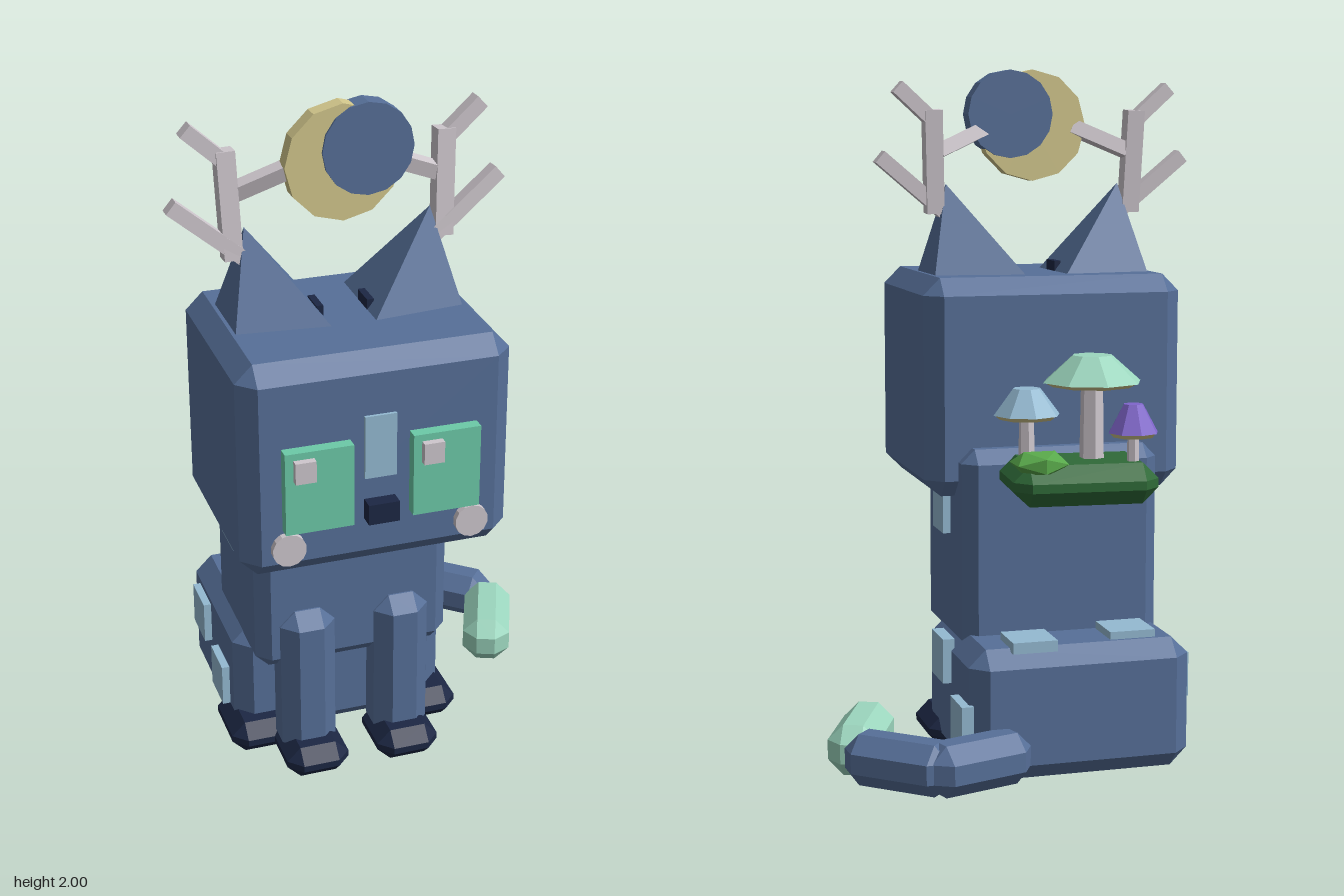
import * as THREE from 'three';
import { ConvexGeometry } from 'three/addons/geometries/ConvexGeometry.js';

const mat = (name, color) => {
  const m = new THREE.MeshStandardMaterial({ color });
  m.name = name;
  return m;
};
const V = (x, y, z) => new THREE.Vector3(x, y, z);
const CX = -0.115; // mirror plane of the body
const SIDES = [-1, 1];

// Box with all edges and corners chamfered by b
function chamferBox(w, h, d, b) {
  const pts = [], [x, y, z] = [w / 2, h / 2, d / 2];
  for (const i of SIDES) for (const j of SIDES) for (const k of SIDES) {
    pts.push(V(i * x, j * (y - b), k * (z - b)), V(i * (x - b), j * y, k * (z - b)), V(i * (x - b), j * (y - b), k * z));
  }
  return new ConvexGeometry(pts);
}

// Faceted copy of a smooth geometry
function faceted(g) {
  const f = g.index ? g.toNonIndexed() : g;
  f.computeVertexNormals();
  return f;
}
const drum = (rTop, rBottom, h, n) => faceted(new THREE.CylinderGeometry(rTop, rBottom, h, n));

export function createModel() {
  const root = new THREE.Group();
  const fur = mat('blue fur', 0x566f98);
  const navy = mat('dark navy', 0x1c2744);
  const eyeGreen = mat('eye green', 0x6ccaa8);
  const mint = mat('mint', 0x9cd6be);
  const sky = mat('light blue', 0x94bad2);
  const bone = mat('pale grey', 0xcec7cd);
  const sand = mat('moon yellow', 0xd2c78c);
  const moss = mat('moss green', 0x2f6a38);
  const leaf = mat('leaf green', 0x58a84a);
  const purple = mat('purple', 0x8066cc);

  function add(name, geo, material, x = 0, y = 0, z = 0, parent = root) {
    const m = new THREE.Mesh(geo, material);
    m.name = name;
    m.position.set(x, y, z);
    parent.add(m);
    return m;
  }
  // Box given by its limits, chamfered if b > 0
  function block(name, material, [x0, x1], [y0, y1], [z0, z1], b = 0) {
    const s = [x1 - x0, y1 - y0, z1 - z0];
    const g = b ? chamferBox(...s, b) : new THREE.BoxGeometry(...s);
    return add(name, g, material, (x0 + x1) / 2, (y0 + y1) / 2, (z0 + z1) / 2);
  }
  // Square rod between two points
  function rod(name, material, a, b, t) {
    const d = b.clone().sub(a);
    const mid = a.clone().add(b).multiplyScalar(0.5);
    const m = add(name, new THREE.BoxGeometry(t, d.length(), t), material, mid.x, mid.y, mid.z);
    m.quaternion.setFromUnitVectors(V(0, 1, 0), d.normalize());
  }

  // Main masses
  block('head', fur, [-0.5, 0.27], [0.775, 1.405], [-0.13, 0.488], 0.05);
  block('torso', fur, [-0.405, 0.18], [0.325, 0.92], [-0.2, 0.26], 0.04);
  block('haunches', fur, [-0.44, 0.21], [0.005, 0.385], [-0.4, 0.135], 0.05);

  // Paired parts
  for (const s of SIDES) {
    const px = (d) => CX + s * d;
    const span = (c, w) => [px(c) - w / 2, px(c) + w / 2];
    block('frontLeg', fur, span(0.143, 0.165), [0.03, 0.52], [0.15, 0.31], 0.045);
    block('frontFoot', navy, span(0.14, 0.188), [0, 0.1], [0.16, 0.385], 0.04);
    block('hindFoot', navy, span(0.26, 0.19), [0, 0.1], [-0.04, 0.21], 0.04);

    const ear = [V(px(0.33), 1.38, 0.01), V(px(0.33), 1.38, 0.25), V(px(0.06), 1.4, -0.02),
      V(px(0.06), 1.4, 0.27), V(px(0.265), 1.665, 0.13)];
    add('ear', new ConvexGeometry(ear), fur);
    block('innerEar', navy, span(0.073, 0.02), [1.4, 1.435], [0.11, 0.19]);

    rod('antlerStem', bone, V(px(0.3), 1.58, 0.13), V(px(0.31), 1.88, 0.11), 0.052);
    rod('antlerLowerTine', bone, V(px(0.268), 1.58, 0.135), V(px(0.465), 1.745, 0.125), 0.042);
    rod('antlerUpperTine', bone, V(px(0.305), 1.845, 0.11), V(px(0.415), 1.945, 0.108), 0.042);
    rod('antlerInnerTine', bone, V(px(0.29), 1.76, 0.115), V(px(0.13), 1.83, 0.155), 0.042);

    // Eyes, with glints on the same side of each
    const ex = px(0.18);
    block('eye', eyeGreen, [ex - 0.096, ex + 0.096], [0.93, 1.172], [0.46, 0.523]);
    block('eyeGlint', bone, [ex - 0.073, ex - 0.015], [1.09, 1.152], [0.5, 0.544]);
    add('cheek', drum(0.048, 0.048, 0.06, 14), bone, px(0.262), 0.873, 0.478).rotation.x = Math.PI / 2;
  }

  // Face
  block('foreheadStripe', sky, [-0.16, -0.07], [1.05, 1.235], [0.47, 0.497]);
  block('nose', navy, [-0.16, -0.072], [0.925, 0.985], [0.46, 0.53]);

  // Crescent moon made of two discs
  add('moon', drum(0.163, 0.163, 0.05, 12), sand, -0.117, 1.835, 0.16).rotation.x = Math.PI / 2;
  add('moonShadow', drum(0.129, 0.129, 0.064, 16), fur, -0.048, 1.868, 0.16).rotation.x = Math.PI / 2;

  // Fur patches on the sides and the back
  const patches = [
    [[0.17, 0.202], [0.655, 0.785], [-0.03, 0.095]],
    [[-0.43, -0.395], [0.655, 0.785], [-0.03, 0.095]],
    [[0.2, 0.235], [0.24, 0.37], [-0.155, -0.02]],
    [[0.2, 0.235], [0.1, 0.23], [-0.372, -0.24]],
    [[-0.463, -0.43], [0.19, 0.32], [-0.3, -0.167]],
    [[-0.463, -0.43], [0.09, 0.22], [-0.09, 0.04]],
    [[-0.345, -0.21], [0.375, 0.407], [-0.34, -0.205]],
    [[-0.04, 0.09], [0.375, 0.407], [-0.385, -0.25]],
  ];
  for (const p of patches) block('furPatch', sky, ...p);

  // Curled tail: chamfered segments between ground points
  const tail = [
    [0.06, -0.4, 0.365, -0.495, fur],
    [0.29, -0.5, 0.535, -0.285, fur],
    [0.535, -0.29, 0.412, 0.005, mint],
  ];
  tail.forEach(([x0, z0, x1, z1, m], i) => {
    const len = Math.hypot(x1 - x0, z1 - z0);
    const seg = add(i < 2 ? 'tailSegment' : 'tailTip', chamferBox(0.148, 0.146, len, 0.045), m,
      (x0 + x1) / 2, 0.095, (z0 + z1) / 2);
    seg.rotation.y = Math.atan2(x1 - x0, z1 - z0);
  });

  // Mossy ledge with bush and mushrooms
  add('mossLedge', chamferBox(0.41, 0.115, 0.29, 0.045), moss, -0.115, 0.853, -0.33).rotation.y = -0.08;
  const bush = add('bush', faceted(new THREE.IcosahedronGeometry(0.085, 0)), leaf, 0.02, 0.915, -0.4);
  bush.scale.y = 0.45;
  const mushrooms = [
    // x, z, rim y, top y, rim radius, top radius, material
    [-0.157, -0.32, 1.125, 1.2, 0.143, 0.057, mint],
    [0.01, -0.24, 1.027, 1.102, 0.097, 0.04, sky],
    [-0.25, -0.405, 0.99, 1.07, 0.072, 0.028, purple],
  ];
  for (const [x, z, y0, y1, r, rt, m] of mushrooms) {
    const g = new THREE.Group();
    g.name = 'mushroom';
    g.position.set(x, 0, z);
    root.add(g);
    add('cap', drum(rt, r, y1 - y0, 8), m, 0, (y0 + y1) / 2, 0, g);
    add('gills', drum(r * 0.96, r * 0.8, 0.012, 8), sand, 0, y0 - 0.006, 0, g);
    add('stem', drum(r * 0.22, r * 0.25, y0 - 0.87, 6), bone, 0, (y0 + 0.87) / 2, 0, g);
  }
  return root;
}
